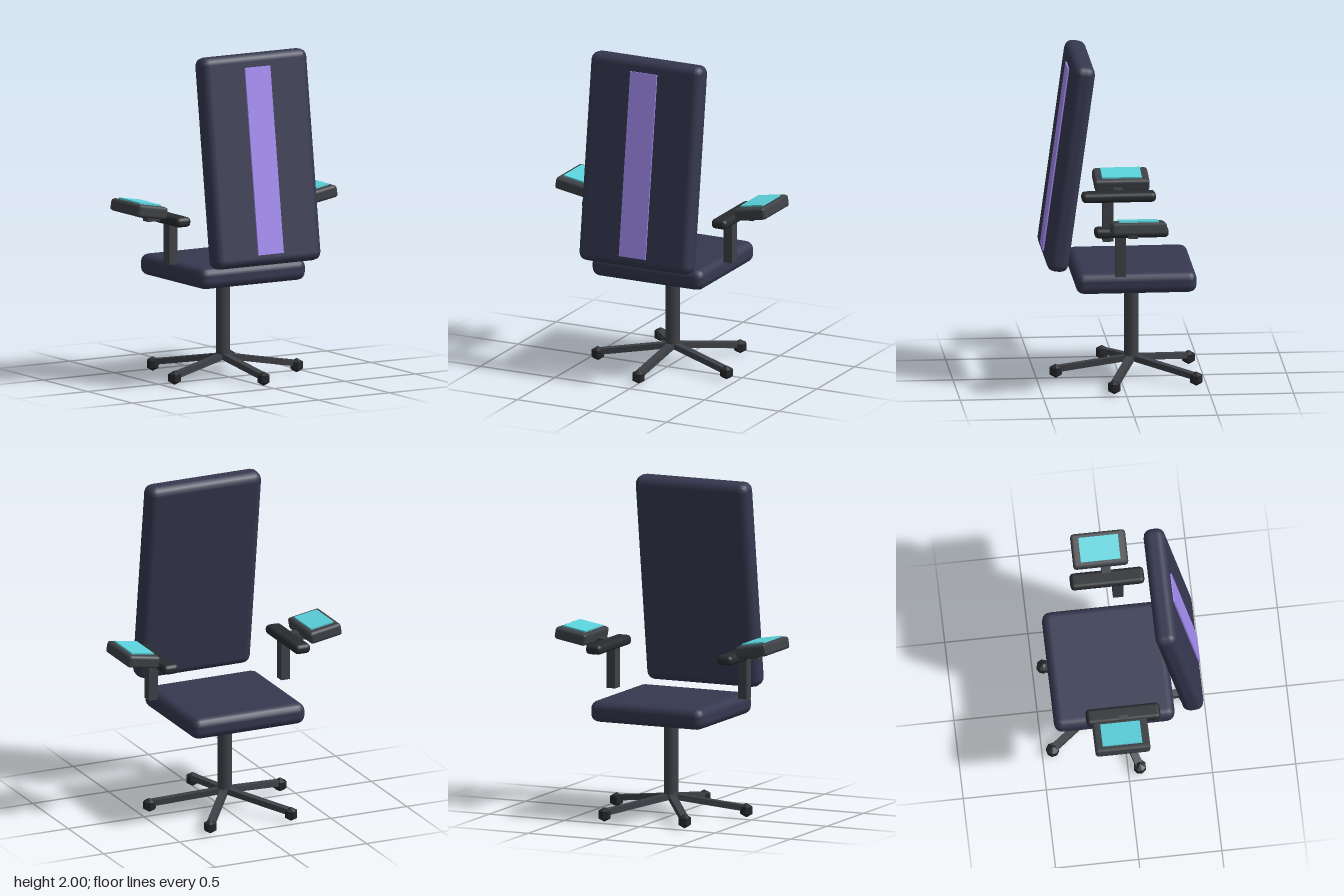
import * as THREE from 'three';
import { RoundedBoxGeometry } from 'three/addons/geometries/RoundedBoxGeometry.js';

const mat = (color, flatShading = false) => new THREE.MeshStandardMaterial({ color, flatShading });
const fabric = mat(0x363850);
const metal = mat(0x3e4146);
const padBlack = mat(0x292b2f);
const casterBlack = mat(0x24262a, true);
const accent = mat(0xa58cf2);
const glow = mat(0x5ad1db);

function add(parent, name, geometry, material, x = 0, y = 0, z = 0) {
  const mesh = new THREE.Mesh(geometry, material);
  mesh.name = name;
  mesh.position.set(x, y, z);
  parent.add(mesh);
  return mesh;
}

function group(parent, name, x = 0, y = 0, z = 0) {
  const g = new THREE.Group();
  g.name = name;
  g.position.set(x, y, z);
  parent.add(g);
  return g;
}

const box = (w, h, d) => new THREE.BoxGeometry(w, h, d);
const rounded = (w, h, d, r, segments = 2) => new RoundedBoxGeometry(w, h, d, segments, r);

// Five sloping spokes with faceted casters
function addBase(chair) {
  const base = group(chair, 'starBase', 0, 0, -0.07);
  const reach = 0.453, hubY = 0.122, endY = 0.057;
  for (let i = 0; i < 5; i++) {
    const spoke = group(base, 'spoke');
    spoke.rotation.y = (i * Math.PI * 2) / 5;
    const leg = add(spoke, 'leg', box(0.045, 0.035, Math.hypot(reach, hubY - endY)), metal,
      0, (hubY + endY) / 2, reach / 2);
    leg.rotation.x = Math.atan2(hubY - endY, reach);
    add(spoke, 'caster', new THREE.SphereGeometry(0.044, 8, 3), casterBlack, 0, 0.045, reach);
  }
  add(base, 'column', new THREE.CylinderGeometry(0.043, 0.043, 0.5, 16), metal, 0, 0.37, 0);
}

// Post, pad, bracket and tilted control panel; side is +1 or -1
function addArm(chair, side) {
  const arm = group(chair, side > 0 ? 'leftArm' : 'rightArm');
  add(arm, 'armPost', box(0.058, 0.255, 0.063), metal, side * 0.436, 0.857, 0.033);
  add(arm, 'armPad', rounded(0.102, 0.06, 0.445, 0.025), padBlack, side * 0.435, 1.0, -0.032);
  add(arm, 'panelBracket', box(0.118, 0.05, 0.055), metal, side * 0.512, 1.014, -0.032);
  const panel = group(arm, 'controlPanel', side * 0.6, 1.064, -0.06);
  panel.rotation.z = side * 0.17;
  add(panel, 'panelBody', rounded(0.21, 0.075, 0.33, 0.018, 1), metal);
  add(panel, 'panelScreen', box(0.15, 0.01, 0.238), glow, 0, 0.042, 0);
}

export function createModel() {
  const chair = new THREE.Group();
  chair.name = 'swivelChair';

  addBase(chair);
  add(chair, 'seat', rounded(0.747, 0.13, 0.725, 0.05), fabric, 0, 0.66, -0.072);

  // Leaning backrest with a coloured centre stripe
  const back = group(chair, 'backrest', 0, 1.367, 0.32);
  back.rotation.x = -0.136;
  add(back, 'backCushion', rounded(0.747, 1.272, 0.13, 0.05), fabric);
  add(back, 'backStripe', box(0.178, 1.125, 0.014), accent, 0, -0.009, 0.067);

  for (const side of [1, -1]) addArm(chair, side);
  return chair;
}
